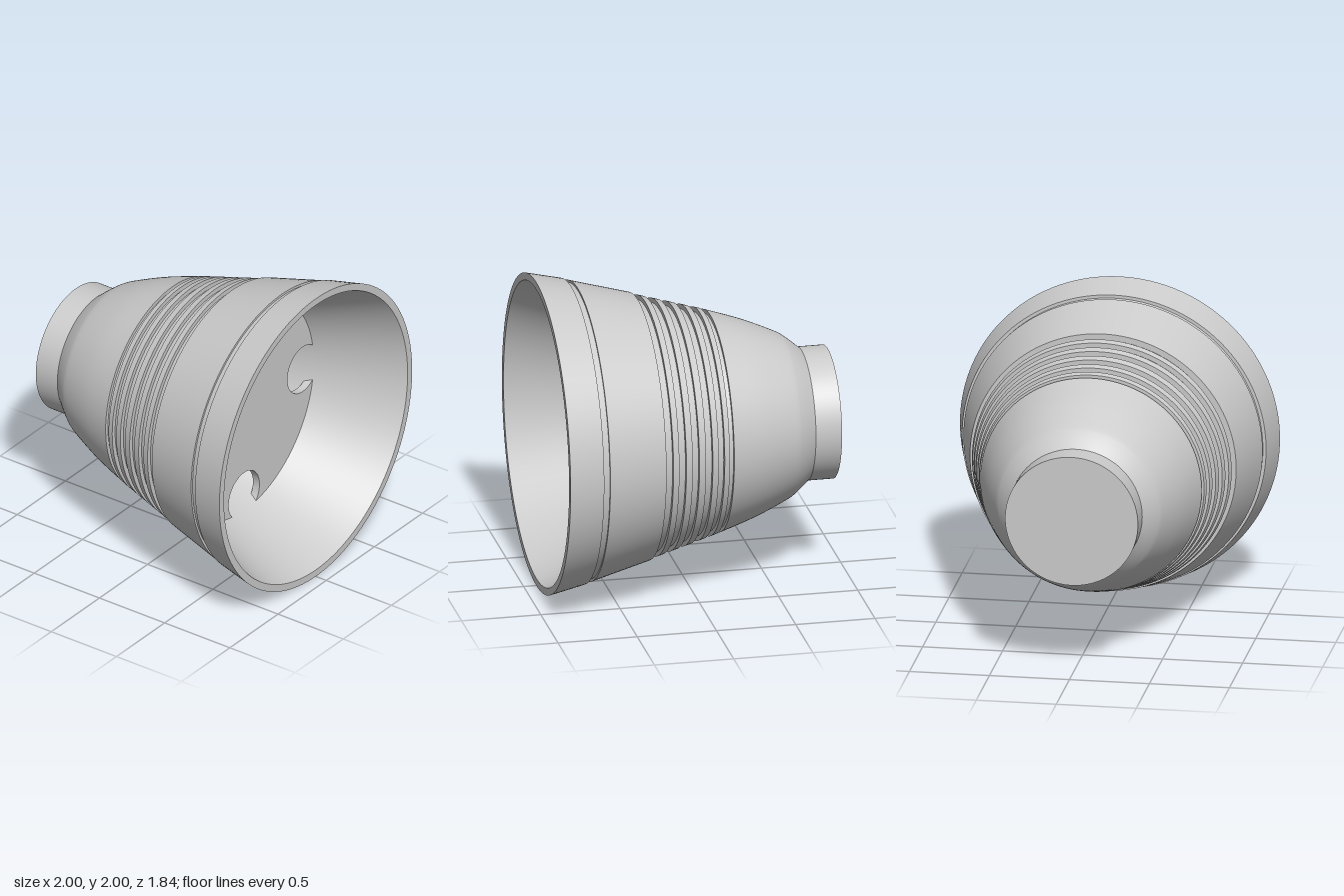
import * as THREE from 'three';
import { toCreasedNormals } from 'three/addons/utils/BufferGeometryUtils.js';

const material = new THREE.MeshStandardMaterial({ color: 0xcccccc });

// Solid housing: closed back neck, domed shoulder, grooved cone and hollow front
function housingProfile() {
  const p = [];
  const add = (r, z) => p.push(new THREE.Vector2(r, z));
  add(0, -0.92);
  add(0.415, -0.92);

  // neck runs into the domed shoulder
  const dome = new THREE.SplineCurve([
    [0.415, -0.755], [0.487, -0.67], [0.53, -0.6], [0.617, -0.4], [0.692, -0.18],
  ].map(([r, z]) => new THREE.Vector2(r, z)));
  p.push(...dome.getPoints(24));

  // raised cooling ribs separated by shallow grooves
  const coneRadius = (z) => 0.745 + 0.29 * z;
  const depth = 0.03;
  const ribs = [[-0.15, -0.115], [-0.075, -0.035], [0.01, 0.055], [0.1, 0.143], [0.19, 0.23]];
  add(coneRadius(-0.18) - depth + 0.005, -0.18);
  for (const [back, front] of ribs) {
    add(coneRadius(back) - depth, back);
    add(coneRadius(back), back);
    add(coneRadius(front), front);
    add(coneRadius(front) - depth, front);
  }
  add(0.795, 0.278);
  add(0.832, 0.278);

  // main cone, narrow groove and front collar
  add(0.935, 0.655);
  add(0.92, 0.655);
  add(0.93, 0.697);
  add(0.95, 0.697);
  add(1, 0.92);

  // flat rim, inner cone and cavity floor
  add(0.953, 0.92);
  add(0.5, -0.16);
  add(0, -0.16);
  return p;
}

// Inner disc with four round notches cut into its edge
function notchedDisc(R, centre, notch) {
  const phi = Math.acos((R * R + centre * centre - notch * notch) / (2 * R * centre));
  const alpha = Math.atan2(R * Math.sin(phi), R * Math.cos(phi) - centre);
  const shape = new THREE.Shape();
  for (let k = 0; k < 4; k++) {
    const a = (k * Math.PI) / 2;
    shape.absarc(centre * Math.cos(a), centre * Math.sin(a), notch, a - alpha, a + alpha - 2 * Math.PI, true);
    shape.absarc(0, 0, R, a + phi, a + Math.PI / 2 - phi, false);
  }
  return new THREE.ExtrudeGeometry(shape, { depth: 0.05, bevelEnabled: false, curveSegments: 32 });
}

export function createModel() {
  const group = new THREE.Group();
  group.name = 'lampHousing';

  const lathe = new THREE.LatheGeometry(housingProfile(), 128);
  lathe.rotateX(Math.PI / 2);
  const housing = new THREE.Mesh(toCreasedNormals(lathe, 0.3), material);
  housing.name = 'housing';
  housing.position.y = 1;
  group.add(housing);

  const disc = new THREE.Mesh(toCreasedNormals(notchedDisc(0.723, 0.61, 0.16), 0.5), material);
  disc.name = 'notchedDisc';
  disc.position.set(0, 1, 0.32);
  group.add(disc);

  return group;
}
